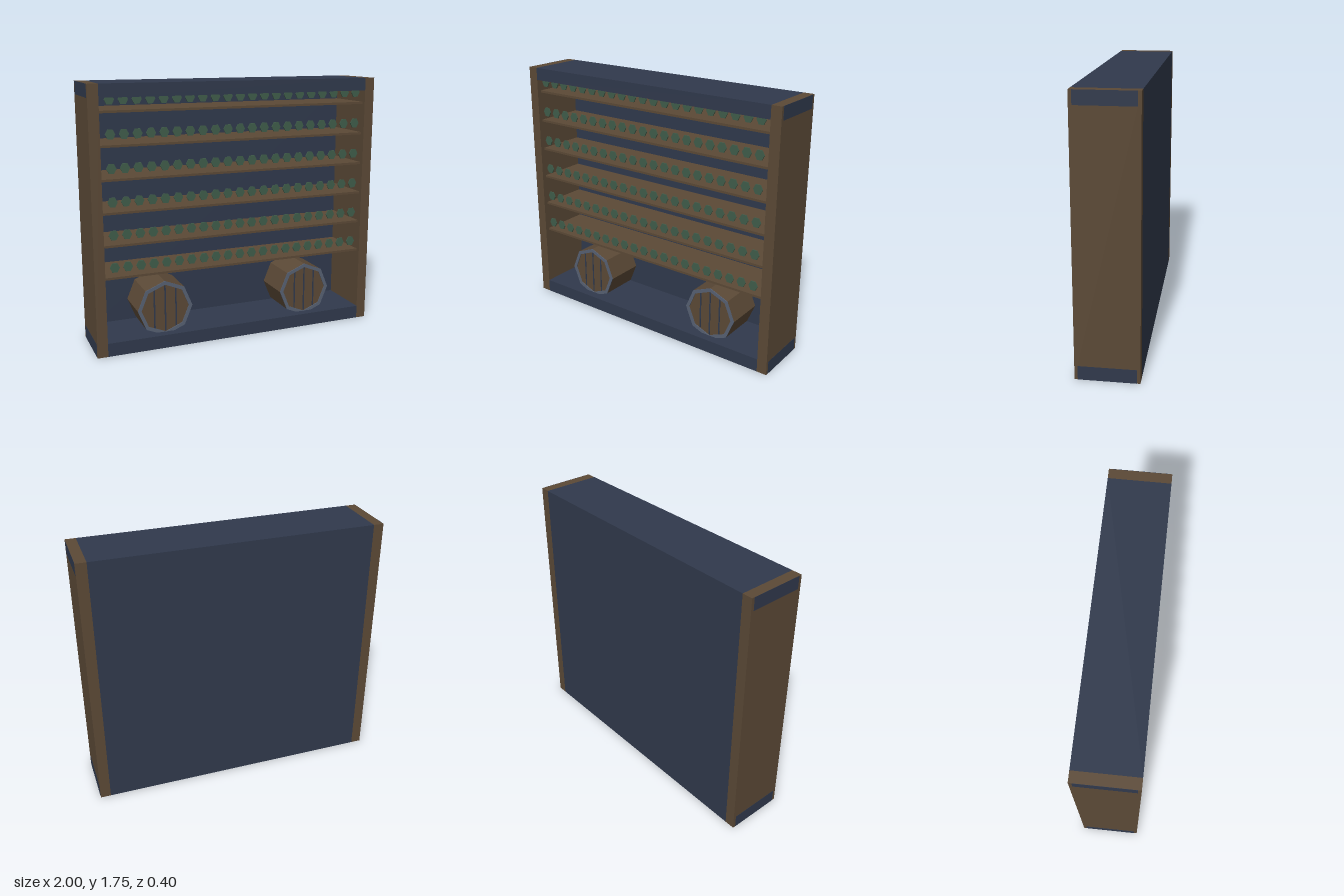
import * as THREE from 'three';

export function createModel() {
  const model = new THREE.Group();
  const material = (name, color) => {
    const m = new THREE.MeshStandardMaterial({ color, flatShading: true });
    m.name = name;
    return m;
  };
  const wood = material('brownWood', 0x5b4936);
  const navy = material('navyPanel', 0x30394c);
  const green = material('greenGlass', 0x3f5c4a);
  const iron = material('greyIron', 0x566072);

  const add = (parent, name, geometry, mat, x, y, z) => {
    const mesh = new THREE.Mesh(geometry, mat);
    mesh.name = name;
    mesh.position.set(x, y, z);
    parent.add(mesh);
    return mesh;
  };
  const box = (parent, name, mat, w, h, d, x, y, z) =>
    add(parent, name, new THREE.BoxGeometry(w, h, d), mat, x, y, z);

  // Cabinet frame: beams, back and side posts
  box(model, 'bottomBeam', navy, 1.86, 0.09, 0.4, 0, 0.045, 0);
  box(model, 'topBeam', navy, 1.86, 0.085, 0.4, 0, 1.7075, 0);
  box(model, 'backPanel', navy, 1.86, 1.575, 0.02, 0, 0.8775, -0.19);
  for (const side of [-1, 1]) {
    box(model, 'sidePost', wood, 0.069, 1.75, 0.4, side * 0.9645, 0.875, 0);
    // Beam ends showing on the outside of the posts
    box(model, 'bottomBeamEnd', navy, 0.002, 0.09, 0.36, side * 0.999, 0.045, 0);
    box(model, 'topBeamEnd', navy, 0.002, 0.085, 0.36, side * 0.999, 1.7075, 0);
  }

  // Six shelves, each with a row of bottle ends
  const bottleEnd = new THREE.CylinderGeometry(0.032, 0.032, 0.008, 6);
  bottleEnd.rotateX(Math.PI / 2);
  bottleEnd.rotateZ(Math.PI / 6);
  bottleEnd.scale(1, 1.1, 1);
  for (let row = 0; row < 6; row++) {
    const y = 0.515 + row * 0.2125;
    box(model, 'shelf', wood, 1.86, 0.015, 0.35, 0, y, -0.005);
    for (let i = 0; i < 21; i++) {
      add(model, 'bottle', bottleEnd, green, (i - 10) * 0.0863, y + 0.075, 0.182);
    }
  }

  // Eight-sided outline with a corner at the top
  const octagon = (radius, Type) => {
    const points = [];
    for (let i = 0; i < 8; i++) {
      const a = (i * Math.PI) / 4;
      points.push(new THREE.Vector2(radius * Math.cos(a), radius * Math.sin(a)));
    }
    return new Type(points);
  };

  // Two barrels lying on the floor, facing forwards
  const hoopShape = octagon(0.19, THREE.Shape);
  hoopShape.holes.push(octagon(0.165, THREE.Path));
  const bodyGeometry = new THREE.ExtrudeGeometry(octagon(0.19, THREE.Shape), { depth: 0.274, bevelEnabled: false });
  const hoopGeometry = new THREE.ExtrudeGeometry(hoopShape, { depth: 0.006, bevelEnabled: false });
  for (const side of [-1, 1]) {
    const barrel = new THREE.Group();
    barrel.name = 'barrel';
    barrel.position.set(side * 0.52, 0.255, 0);
    model.add(barrel);
    add(barrel, 'barrelBody', bodyGeometry, wood, 0, 0, -0.14);
    add(barrel, 'barrelHoop', hoopGeometry, iron, 0, 0, 0.134);
    // Dark seams between the lid boards
    for (const x of [-0.075, 0, 0.075]) {
      box(barrel, 'lidSeam', navy, 0.01, x ? 0.266 : 0.318, 0.003, x, 0, 0.135);
    }
  }
  return model;
}
